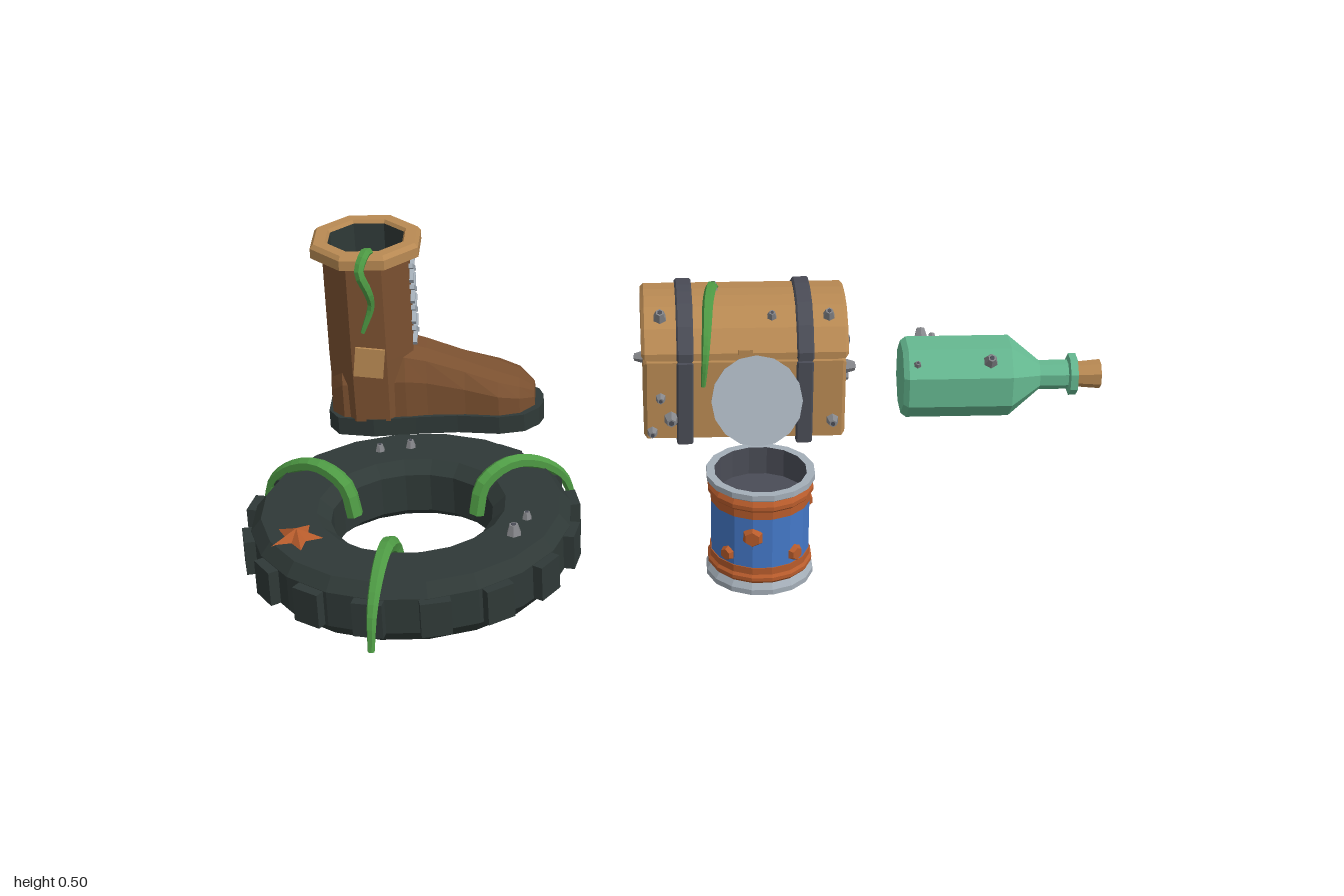
import * as THREE from 'three';

const mat = (name, color, side = THREE.FrontSide) => {
  const m = new THREE.MeshStandardMaterial({ color, flatShading: true, side });
  m.name = name;
  return m;
};
const rubber = mat('rubber', 0x2f3937), leather = mat('leather', 0x7a5030), wood = mat('wood', 0xb98a53),
  iron = mat('iron', 0x4a4c56), weedGreen = mat('weed', 0x4f9c45, THREE.DoubleSide), glass = mat('glass', 0x65b890),
  paint = mat('bluePaint', 0x4478c8), rust = mat('rust', 0xb85c2c), tin = mat('tin', 0xa4aeb8),
  shell = mat('shell', 0x85868a);

function add(parent, name, geo, material, x = 0, y = 0, z = 0) {
  const mesh = new THREE.Mesh(geo, material);
  mesh.name = name;
  mesh.position.set(x, y, z);
  parent.add(mesh);
  return mesh;
}
function group(parent, name, x = 0, y = 0, z = 0) {
  const g = new THREE.Group();
  g.name = name;
  g.position.set(x, y, z);
  parent.add(g);
  return g;
}
// Turned profile of [radius, y] pairs; outer walls go up, inner walls go down
const lathe = (pts, sides, start = Math.PI / sides) =>
  new THREE.LatheGeometry(pts.map(p => new THREE.Vector2(...p)), sides, start);
const octo = pts => lathe(pts.map(([r, y]) => [r / Math.cos(Math.PI / 8), y]), 8);

// Symmetric half-profile of [z, y] pairs extruded along x with a small chamfer
function prism(half, x0, x1, bevel = 0.008) {
  const right = half.map(([z, y]) => new THREE.Vector2(z, y));
  const left = half.map(([z, y]) => new THREE.Vector2(-z, y)).reverse();
  const geo = new THREE.ExtrudeGeometry(new THREE.Shape([...right, ...left]), {
    depth: x1 - x0 - 2 * bevel, bevelEnabled: bevel > 0, bevelSize: bevel,
    bevelOffset: -bevel, bevelThickness: bevel, bevelSegments: 1 });
  return geo.rotateY(Math.PI / 2).translate(x0 + bevel, 0, 0);
}

// Strand tapering towards its tip
function weed(parent, pts, r = 0.017) {
  const curve = new THREE.CatmullRomCurve3(pts.map(p => new THREE.Vector3(...p)));
  const n = 16, sides = 6, geo = new THREE.TubeGeometry(curve, n, r, sides);
  const pos = geo.attributes.position, v = new THREE.Vector3();
  for (let i = 0; i < pos.count; i++) {
    const t = Math.floor(i / (sides + 1)) / n, c = curve.getPointAt(t);
    v.fromBufferAttribute(pos, i).sub(c).multiplyScalar(1 - 0.6 * t * t).add(c);
    pos.setXYZ(i, v.x, v.y, v.z);
  }
  add(parent, 'seaweed', geo, weedGreen);
}

// Small crusted cone with a dark mouth, pointing along dir
function barnacle(parent, x, y, z, dir, s = 0.017) {
  const g = group(parent, 'barnacle', x, y, z);
  g.quaternion.setFromUnitVectors(new THREE.Vector3(0, 1, 0), new THREE.Vector3(...dir).normalize());
  add(g, 'barnacleShell', new THREE.CylinderGeometry(s * 0.55, s, s * 1.5, 6), shell, 0, s * 0.55, 0);
  add(g, 'barnacleMouth', new THREE.CylinderGeometry(s * 0.33, s * 0.33, 0.002, 6), iron, 0, s * 1.31, 0);
}

function buildTire(root) {
  const g = group(root, 'tire', -0.632, 0, 0.212);
  add(g, 'tireBody', lathe([[0.205, 0], [0.325, 0], [0.348, 0.03], [0.348, 0.112], [0.325, 0.14],
    [0.205, 0.14], [0.176, 0.115], [0.176, 0.025], [0.205, 0]], 20), rubber);
  for (let i = 0; i < 16; i++) {
    const a = (i + 0.5) * Math.PI / 8;
    add(g, 'treadLug', new THREE.BoxGeometry(0.065, 0.08, 0.04), rubber,
      0.346 * Math.sin(a), 0.071, 0.346 * Math.cos(a)).rotation.y = a;
  }
  for (const deg of [99, 210, 330]) {
    const a = deg * Math.PI / 180;
    weed(g, [[0.155, 0.07], [0.175, 0.14], [0.24, 0.172], [0.31, 0.155], [0.375, 0.1], [0.402, 0.02]]
      .map(([r, y]) => [r * Math.cos(a), y, r * Math.sin(a)]), 0.019);
  }
  // Starfish: cone with alternate rim vertices pulled in
  const star = new THREE.ConeGeometry(0.06, 0.025, 10), p = star.attributes.position;
  for (let i = 0; i < p.count; i++) {
    const k = Math.round(Math.atan2(p.getX(i), p.getZ(i)) / (Math.PI / 5));
    if (k % 2) p.setXYZ(i, p.getX(i) * 0.45, p.getY(i), p.getZ(i) * 0.45);
  }
  add(g, 'starfish', star, rust, -0.234, 0.151, 0.133).rotation.y = 0.25;
  for (const [x, z, s] of [[-0.088, -0.247, 0.012], [-0.02, -0.262, 0.013], [0.252, 0.068, 0.012], [0.226, 0.133, 0.018]])
    barnacle(g, x, 0.14, z, [0, 1, 0], s);
}

function buildBoot(root) {
  const g = group(root, 'boot', -0.768, 0, -0.461);
  // Sole from a mirrored outline of [x, half width]
  const outline = [[-0.11, 0.045], [-0.085, 0.085], [0, 0.1], [0.1, 0.09], [0.2, 0.085], [0.3, 0.097],
    [0.36, 0.085], [0.395, 0.05], [0.405, 0.02]];
  const shape = new THREE.Shape([...outline.map(([x, w]) => new THREE.Vector2(x, -w)),
    ...outline.map(([x, w]) => new THREE.Vector2(x, w)).reverse()]);
  add(g, 'sole', new THREE.ExtrudeGeometry(shape, { depth: 0.045, bevelEnabled: false }).rotateX(-Math.PI / 2), rubber);
  // Foot lofted through arched sections [x, half width, top height]
  const sections = [[-0.1, 0.05, 0.15], [-0.07, 0.082, 0.2], [0.08, 0.086, 0.215], [0.13, 0.078, 0.2], [0.22, 0.078, 0.165],
    [0.3, 0.088, 0.135], [0.35, 0.075, 0.115], [0.385, 0.035, 0.085]];
  const arch = [[1, 0], [1, 0.55], [0.75, 0.87], [0.35, 1], [-0.35, 1], [-0.75, 0.87], [-1, 0.55], [-1, 0]];
  const n = arch.length, verts = [], idx = [];
  for (const [x, w, h] of sections) for (const [u, v] of arch) verts.push(x, 0.044 + v * (h - 0.044), u * w);
  for (let s = 0; s < sections.length - 1; s++) for (let j = 0; j < n - 1; j++) {
    const a = s * n + j, b = a + 1, c = a + n, d = c + 1;
    idx.push(a, c, b, b, c, d);
  }
  const end = (sections.length - 1) * n;
  for (let j = 1; j < n - 1; j++) idx.push(0, j, j + 1, end, end + j + 1, end + j);
  const foot = new THREE.BufferGeometry();
  foot.setAttribute('position', new THREE.Float32BufferAttribute(verts, 3));
  foot.setIndex(idx);
  foot.computeVertexNormals();
  add(g, 'foot', foot, leather);
  add(g, 'shaft', octo([[0.097, 0.04], [0.1, 0.2], [0.1, 0.45]]), leather);
  add(g, 'cuff', octo([[0.1, 0.442], [0.126, 0.45], [0.126, 0.474], [0.118, 0.484], [0.092, 0.484], [0.087, 0.475]]), wood);
  add(g, 'lining', octo([[0.087, 0.476], [0.085, 0.38], [0, 0.38]]), rubber);
  // Crossed laces
  for (let i = 0; i < 4; i++) for (const s of [-1, 1])
    add(g, 'lace', new THREE.BoxGeometry(0.012, 0.011, 0.085), tin, 0.104, 0.4 - i * 0.054, 0).rotation.x = s * 0.5;
  add(g, 'patch', new THREE.BoxGeometry(0.07, 0.075, 0.009), wood, 0, 0.2, 0.102).rotation.z = -0.12;
  weed(g, [[0.015, 0.475, 0.09], [0.01, 0.49, 0.115], [-0.005, 0.455, 0.143], [0.012, 0.4, 0.138],
    [0.016, 0.36, 0.125], [-0.008, 0.29, 0.125]], 0.013);
}

function buildChest(root) {
  const g = group(root, 'chest', 0.12, 0, -0.457);
  add(g, 'chestBody', prism([[0.15, 0.012], [0.15, 0.212]], -0.24, 0.24), wood);
  add(g, 'chestSeam', new THREE.BoxGeometry(0.46, 0.03, 0.28), wood, 0, 0.218, 0);
  add(g, 'chestLid', prism([[0.16, 0.224], [0.16, 0.24], [0.122, 0.288], [0.068, 0.32], [0.02, 0.326]], -0.245, 0.245), wood);
  for (const x of [-0.142, 0.142]) {
    add(g, 'bodyStrap', prism([[0.161, 0], [0.161, 0.213]], x - 0.02, x + 0.02, 0.004), iron);
    add(g, 'lidStrap', prism([[0.17, 0.222], [0.17, 0.243], [0.129, 0.296], [0.072, 0.33], [0.02, 0.337]],
      x - 0.02, x + 0.02, 0.004), iron);
  }
  add(g, 'hasp', new THREE.BoxGeometry(0.035, 0.05, 0.02), wood, 0, 0.228, 0.16);
  add(g, 'lockPlate', new THREE.BoxGeometry(0.06, 0.06, 0.02), wood, 0, 0.175, 0.157);
  add(g, 'keyhole', new THREE.BoxGeometry(0.014, 0.028, 0.004), iron, 0, 0.172, 0.168);
  weed(g, [[-0.07, 0.325, -0.03], [-0.075, 0.338, 0.0], [-0.085, 0.33, 0.07], [-0.09, 0.295, 0.13], [-0.095, 0.24, 0.175],
    [-0.1, 0.165, 0.182]], 0.014);
  barnacle(g, -0.07, 0.326, -0.015, [0, 1, 0], 0.014);
  for (const [x, y, s] of [[-0.175, 0.065, 0.02], [-0.22, 0.03, 0.015], [0.21, 0.055, 0.017], [-0.2, 0.12, 0.014]])
    barnacle(g, x, y, 0.15, [0, 0, 1], s);
  for (const [y, z, s] of [[0.165, 0.085, 0.02], [0.165, -0.06, 0.02], [0.09, -0.01, 0.016]])
    barnacle(g, 0.24, y, z, [1, 0, 0], s);
  barnacle(g, -0.24, 0.12, -0.07, [-1, 0, 0], 0.016);
  for (const [x, s] of [[-0.2, 0.018], [0.065, 0.013], [0.2, 0.016]])
    barnacle(g, x, 0.304, 0.095, [0, 0.85, 0.5], s);
}

function buildCan(root) {
  const g = group(root, 'can', 0.123, 0, 0.27), n = 16;
  add(g, 'canBase', lathe([[0, 0.004], [0.1, 0.004]], n), rust);
  add(g, 'bottomRim', lathe([[0.1, 0.004], [0.1, 0], [0.117, 0], [0.117, 0.012], [0.107, 0.026]], n), tin);
  add(g, 'lowerRustBand', lathe([[0.107, 0.024], [0.114, 0.032], [0.114, 0.04], [0.109, 0.046], [0.109, 0.062], [0.106, 0.062]], n), rust);
  add(g, 'paintedWall', lathe([[0.107, 0.06], [0.107, 0.184]], n), paint);
  add(g, 'upperRustBand', lathe([[0.106, 0.182], [0.109, 0.182], [0.109, 0.2], [0.115, 0.206], [0.115, 0.215], [0.108, 0.226]], n), rust);
  add(g, 'topRim', lathe([[0.108, 0.225], [0.118, 0.232], [0.118, 0.245], [0.1, 0.245]], n), tin);
  add(g, 'canInside', lathe([[0.1, 0.245], [0.1, 0.18], [0, 0.18]], n), iron);
  // Rust blisters at [angle from front, height, radius]
  for (const [a, y, r] of [[-0.2, 0.137, 0.024], [-0.75, 0.085, 0.018], [0.72, 0.085, 0.02], [1.85, 0.155, 0.02]]) {
    const blister = add(g, 'rustSpot', new THREE.CylinderGeometry(r * 0.7, r, 0.012, 6).rotateX(Math.PI / 2), rust,
      0.11 * Math.sin(a), y, 0.11 * Math.cos(a));
    blister.rotation.y = a;
  }
  // Opened lid leaning back
  const lid = group(g, 'openLid', 0, 0.333, -0.147);
  lid.rotation.x = 1.15;
  add(lid, 'lidDisc', new THREE.CylinderGeometry(0.1, 0.1, 0.006, n), tin);
  add(lid, 'pullTab', new THREE.BoxGeometry(0.035, 0.006, 0.045), tin, 0, -0.007, -0.065);
}

function buildBottle(root) {
  const g = group(root, 'bottle', 0, 0.091, -0.455);
  const turned = pts => octo(pts).rotateZ(-Math.PI / 2);
  add(g, 'bottleGlass', turned([[0, 0.507], [0.082, 0.507], [0.091, 0.52], [0.091, 0.77], [0.033, 0.845], [0.033, 0.915],
    [0.047, 0.918], [0.047, 0.936], [0, 0.936]]), glass);
  add(g, 'cork', turned([[0.028, 0.934], [0.033, 0.995], [0, 0.998]]), wood);
  barnacle(g, 0.716, 0.073, 0.067, [0, 1, 1], 0.018);
  barnacle(g, 0.56, 0.077, -0.055, [0, 1, -0.9], 0.019);
  barnacle(g, 0.59, 0.064, -0.07, [0, 1, -1], 0.013);
  barnacle(g, 0.54, 0.065, 0.065, [0, 1, 1], 0.01);
}

export function createModel() {
  const root = new THREE.Group();
  root.name = 'seabedJunk';
  for (const build of [buildTire, buildBoot, buildChest, buildCan, buildBottle]) build(root);
  return root;
}
